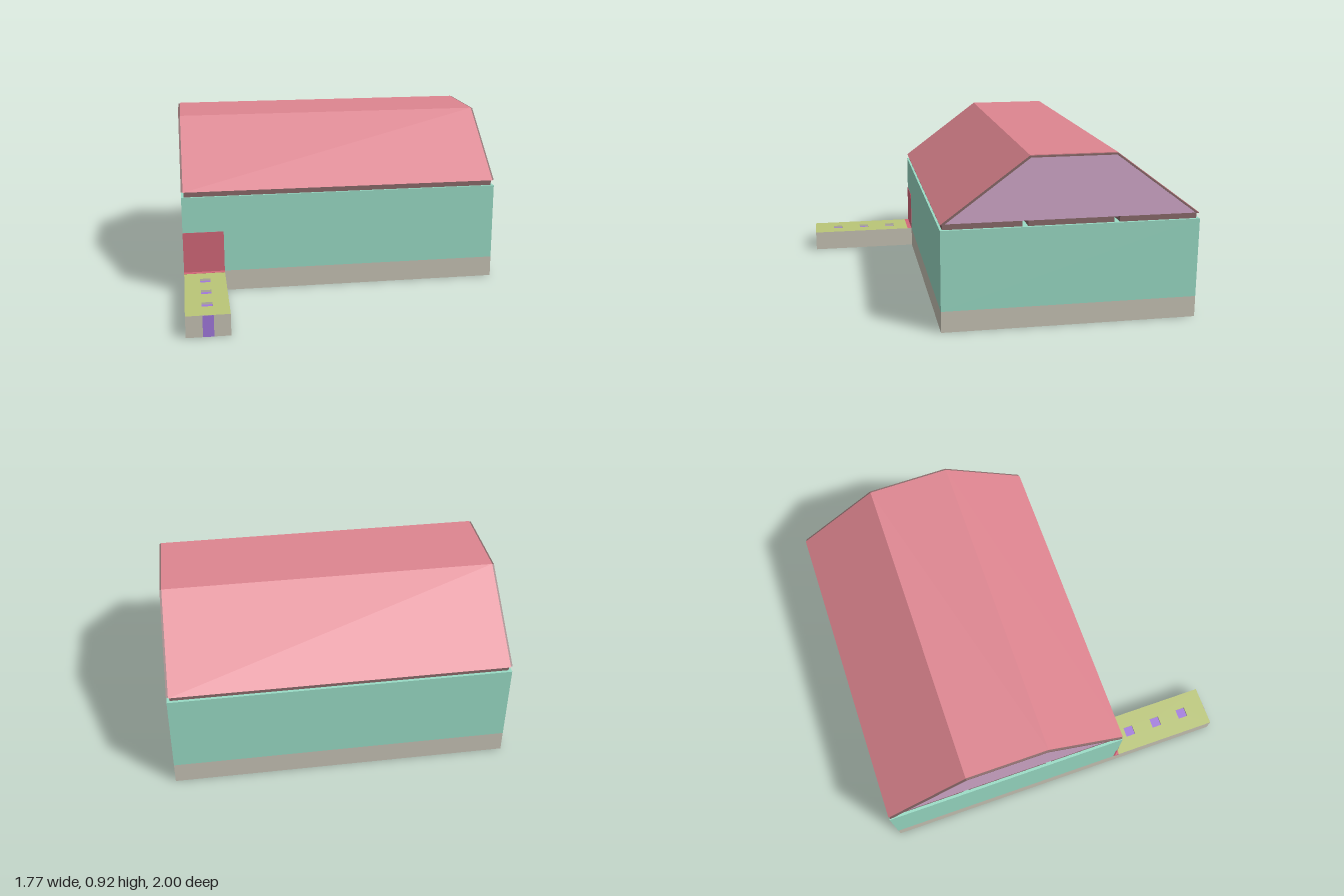
import * as THREE from 'three';

const mat = (color) => new THREE.MeshStandardMaterial({ color });
const beige = mat(0xc8c4b6), mint = mat(0x9adcc6), pink = mat(0xde8590), trim = mat(0x8a6a6a);
const lavender = mat(0xd2a9cb), red = mat(0xd4687a), purple = mat(0xa078dc);
const green = mat(0xbac678), blue = mat(0x6496aa);

const X = 0.885, BACK = -1, WALL = 0.37, BASE = 0.115, WALL_TOP = 0.545, EAVE = 0.575, RIDGE = 0.915;

export function createModel() {
  const group = new THREE.Group();

  const add = (name, geometry, material) => {
    const mesh = new THREE.Mesh(geometry, material);
    mesh.name = name;
    group.add(mesh);
    return mesh;
  };

  // box given by its lower and upper corners
  const box = (name, material, x0, x1, y0, y1, z0, z1) => {
    const mesh = add(name, new THREE.BoxGeometry(x1 - x0, y1 - y0, z1 - z0), material);
    mesh.position.set((x0 + x1) / 2, (y0 + y1) / 2, (z0 + z1) / 2);
    return mesh;
  };

  // house body: plinth with a blue underside, walls above
  box('plinth', [beige, beige, beige, blue, beige, beige], -X, X, 0, BASE, BACK, WALL);
  box('walls', mint, -X, X, BASE, WALL_TOP, BACK, WALL);

  // three ceiling slabs with narrow slots between them
  for (const [z0, z1] of [[-0.985, -0.57], [-0.54, -0.085], [-0.055, 0.358]]) {
    box('ceilingSlab', trim, -0.87, 0.87, WALL_TOP, EAVE, z0, z1);
  }

  // roof outline in (z, y), moved inwards by d
  const outline = (d) => {
    const mid = (BACK + WALL) / 2, low = 0.685 - 1.67 * d, high = 0.2275 - 0.333 * d;
    return [[mid + low, EAVE], [mid + high, RIDGE - d], [mid - high, RIDGE - d], [mid - low, EAVE]]
      .map(([z, y]) => new THREE.Vector2(z, y));
  };
  // sweep a (z, y) outline along x
  const sweep = (points, width) => new THREE.ExtrudeGeometry(new THREE.Shape(points), { depth: width, bevelEnabled: false })
    .translate(0, 0, -width / 2)
    .rotateY(-Math.PI / 2);
  const shell = (outer, inner, width) => sweep([...outline(outer), ...outline(inner).reverse()], width);

  add('roofCovering', shell(0, 0.003, 1.75), pink);
  add('roofTrim', shell(0.003, 0.012, 2 * X), trim);
  add('attic', sweep(outline(0.012), 1.745), lavender);

  // entrance walkway
  const px0 = -X, px1 = -0.66, slotX = -0.772, half = 0.028, deck = 0.015;
  box('walkwayBody', beige, px0, px1, 0, BASE - deck, WALL, 1);

  // deck with three square slots
  const rect = (Type, x0, x1, z0, z1) => new Type([[x0, -z0], [x0, -z1], [x1, -z1], [x1, -z0]]
    .map(([x, y]) => new THREE.Vector2(x, y)));
  const top = rect(THREE.Shape, px0, px1, WALL, 1);
  for (const z of [0.51, 0.682, 0.855]) {
    top.holes.push(rect(THREE.Path, slotX - half, slotX + half, z - half, z + half));
    box('slotFloor', purple, slotX - half, slotX + half, BASE - deck, BASE - deck + 0.003, z - half, z + half);
  }
  const deckMesh = add('walkwayDeck', new THREE.ExtrudeGeometry(top, { depth: deck, bevelEnabled: false }).rotateX(-Math.PI / 2), [green, beige]);
  deckMesh.position.y = BASE - deck;

  // stripe on the end of the walkway, door and threshold
  box('walkwayStripe', purple, slotX - half, slotX + half, 0, BASE - 0.001, 0.99, 1.001);
  box('door', red, px0, px1, BASE, 0.345, WALL - 0.01, WALL + 0.002);
  box('threshold', red, px0, px1, BASE - 0.01, BASE + 0.001, WALL, 0.397);

  return group;
}
